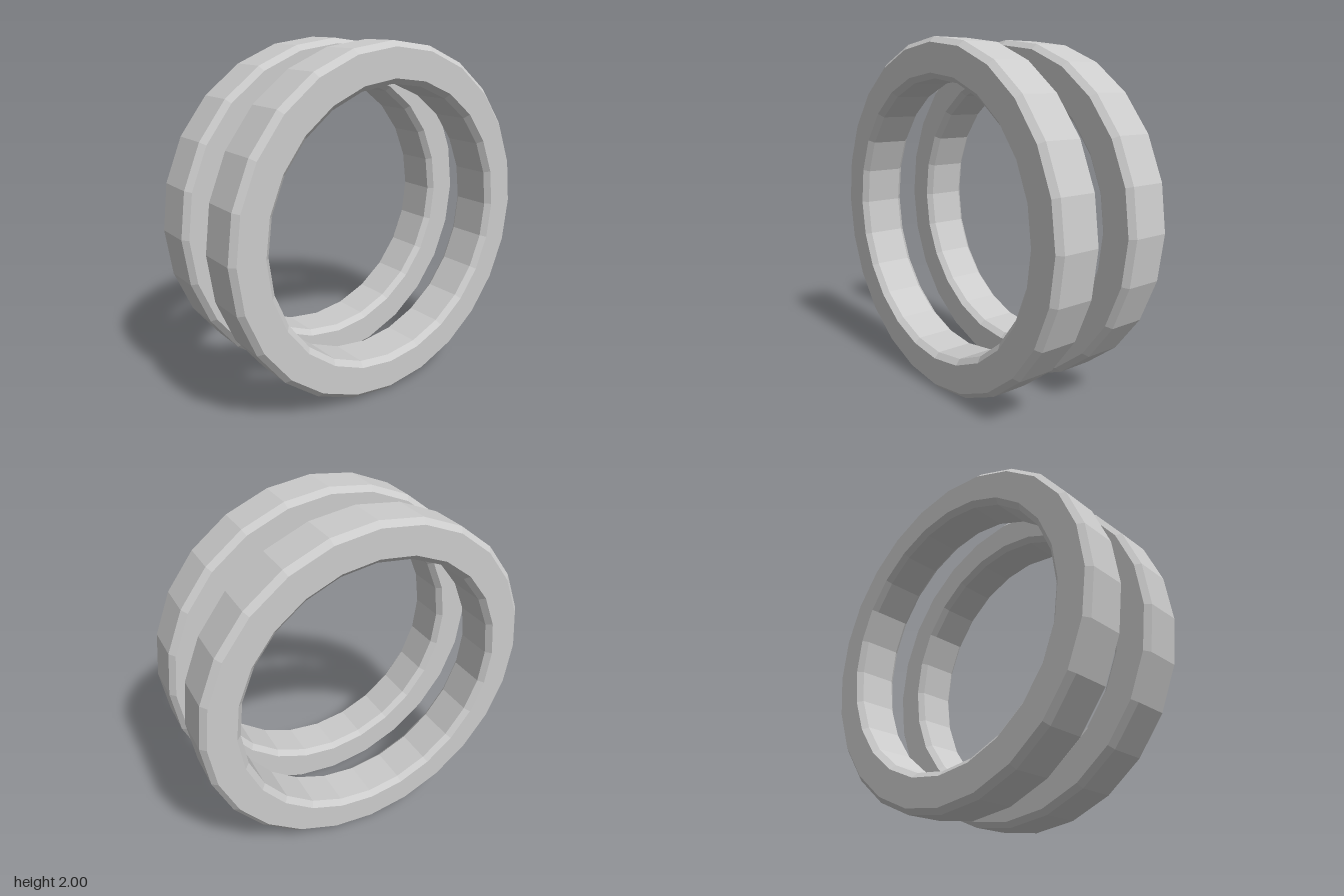
import * as THREE from 'three';

export function createModel() {
  const model = new THREE.Group();
  const material = new THREE.MeshStandardMaterial({ color: 0xcccccc, flatShading: true });

  // Chamfered rectangular ring section: radius, offset along the axis
  const outer = 1, inner = 0.78, half = 0.14, bevel = 0.03;
  const profile = [
    [inner + bevel, -half], [outer - bevel, -half],
    [outer, -half + bevel], [outer, half - bevel],
    [outer - bevel, half], [inner + bevel, half],
    [inner, half - bevel], [inner, -half + bevel],
    [inner + bevel, -half],
  ].map(([r, y]) => new THREE.Vector2(r, y));

  // 24-sided ring with its axis turned onto x
  const ringGeometry = new THREE.LatheGeometry(profile, 24).rotateZ(-Math.PI / 2);

  // Mirrored pair of rings
  for (const [name, side] of [['leftRing', 1], ['rightRing', -1]]) {
    const ring = new THREE.Mesh(ringGeometry, material);
    ring.name = name;
    ring.position.set(side * 0.25, outer, 0);
    model.add(ring);
  }
  return model;
}
